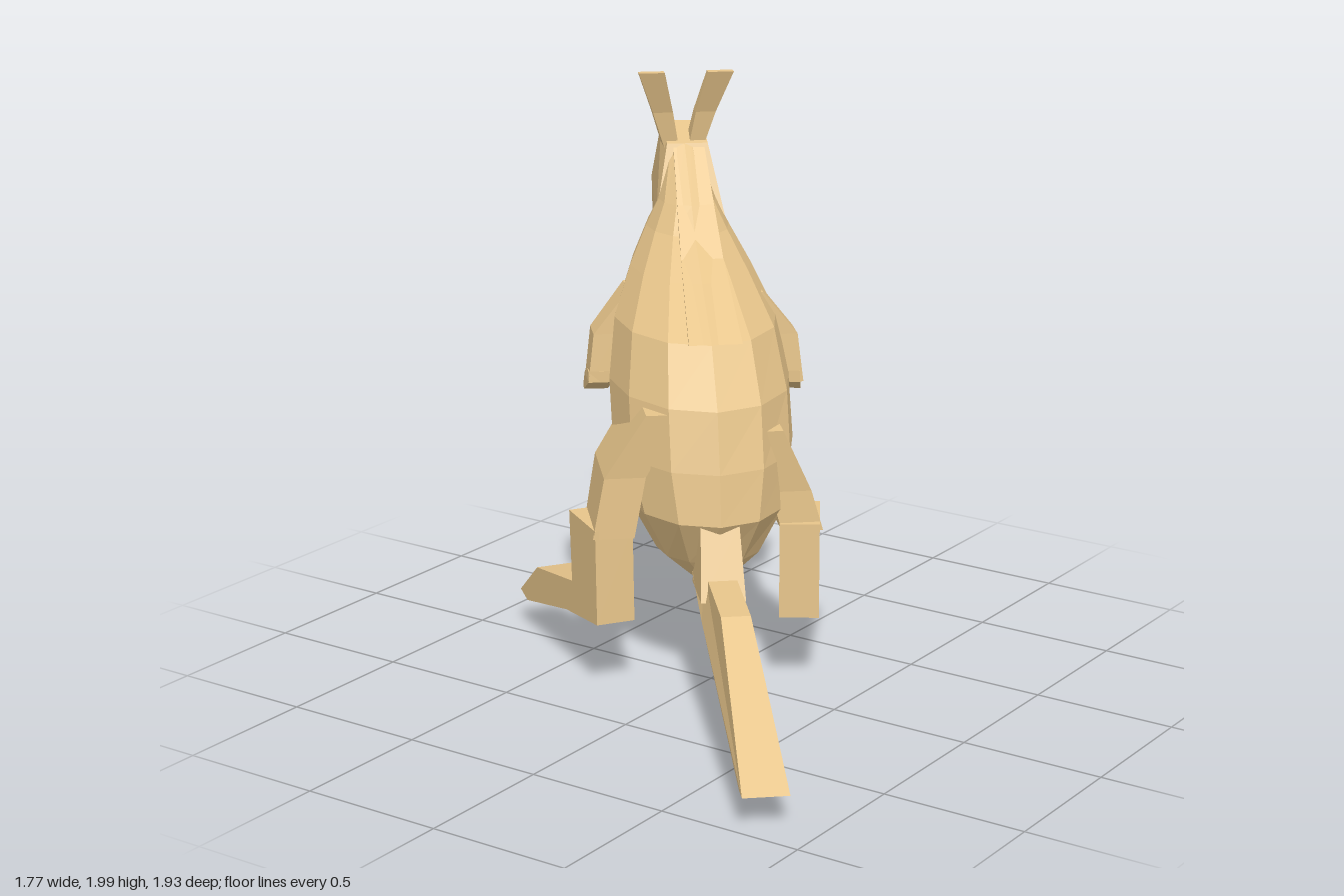
import * as THREE from 'three';

const fur = new THREE.MeshStandardMaterial({ color: 0xe6c48a, flatShading: true, side: THREE.DoubleSide });
const paleFur = new THREE.MeshStandardMaterial({ color: 0xe8d0b8, flatShading: true, side: THREE.DoubleSide });

// Horizontal cross-section: centre x, y, z, half width, half depth
function ring([cx, y, cz, w, d], n) {
  const square = n === 4;
  const k = square ? Math.SQRT2 : 1;
  return Array.from({ length: n }, (_, i) => {
    const a = ((i + (square ? 0.5 : 0)) / n) * Math.PI * 2;
    return [cx + Math.cos(a) * w * k, y, cz + Math.sin(a) * d * k];
  });
}

// Skin a stack of sections, listed from bottom to top, and cap both ends
function loft(name, sections, n = 4, material = fur) {
  const rings = sections.map((s) => ring(s, n));
  const index = [];
  const last = (rings.length - 1) * n;
  for (let r = 0; r < rings.length - 1; r++) {
    for (let i = 0; i < n; i++) {
      const p = r * n + i, q = r * n + ((i + 1) % n);
      index.push(p, p + n, q, q, p + n, q + n);
    }
  }
  for (let i = 1; i < n - 1; i++) {
    index.push(0, i, i + 1, last, last + i + 1, last + i);
  }
  const geometry = new THREE.BufferGeometry();
  geometry.setAttribute('position', new THREE.Float32BufferAttribute(rings.flat(2), 3));
  geometry.setIndex(index);
  geometry.computeVertexNormals();
  const mesh = new THREE.Mesh(geometry, material);
  mesh.name = name;
  return mesh;
}

// Side profile of (forward, up) points given a thickness; widthAt scales it point by point
function slab(name, profile, width, { x = 0, z = 0, yaw = 0, widthAt = () => 1 } = {}) {
  const shape = new THREE.Shape(profile.map(([u, v]) => new THREE.Vector2(u, v)));
  const geometry = new THREE.ExtrudeGeometry(shape, { depth: width, bevelEnabled: false });
  geometry.translate(0, 0, -width / 2);
  const pos = geometry.attributes.position;
  for (let i = 0; i < pos.count; i++) pos.setZ(i, pos.getZ(i) * widthAt(pos.getX(i), pos.getY(i)));
  geometry.rotateY(-Math.PI / 2);
  geometry.computeVertexNormals();
  const mesh = new THREE.Mesh(geometry, fur);
  mesh.name = name;
  mesh.position.set(x, 0, z);
  mesh.rotation.y = yaw;
  return mesh;
}

export function createModel() {
  const root = new THREE.Group();
  root.name = 'kangaroo';
  const animal = new THREE.Group();
  animal.name = 'animal';
  animal.rotation.y = THREE.MathUtils.degToRad(-137.8);
  root.add(animal);

  // Egg-shaped trunk rising into the neck
  animal.add(loft('body', [
    [0, 0.39, -0.02, 0.07, 0.07],
    [0, 0.47, 0.05, 0.18, 0.2],
    [0, 0.63, 0.11, 0.27, 0.36],
    [0, 0.8, 0.2, 0.31, 0.42],
    [0, 1.0, 0.3, 0.31, 0.46],
    [0, 1.19, 0.4, 0.28, 0.42],
    [0, 1.34, 0.53, 0.21, 0.31],
    [0, 1.46, 0.61, 0.145, 0.21],
    [0, 1.55, 0.62, 0.1, 0.13],
    [0, 1.73, 0.74, 0.05, 0.06],
  ], 12));

  // Flat ridge along the nape
  animal.add(slab('napeRidge', [[0.69, 1.73], [0.5, 1.55], [0.33, 1.4], [-0.01, 1.19], [0.3, 1.15], [0.75, 1.5]], 0.15,
    { x: -0.015, widthAt: (u) => 1.2 - 0.7 * u }));

  // Wedge-shaped head, broad at the jaw hinge and narrow at the crown
  animal.add(slab('head', [[0.6, 1.49], [1.21, 1.38], [1.23, 1.5], [0.84, 1.78], [0.68, 1.73]], 0.13,
    { x: -0.01, widthAt: (u, v) => (u > 1 ? 0.95 : v < 1.6 ? 1.85 : 1.1) }));

  // Tail, narrower along its top, with a raised wedge joining the rump
  animal.add(slab('tail', [[-1.24, 0.1], [-1.18, 0.1], [-0.32, 0.33], [-0.08, 0.42], [-0.2, 0.46], [-0.59, 0.445]], 0.15,
    { widthAt: (u, v) => (v > 0.43 ? 0.65 : 1) }));
  animal.add(loft('tailRoot', [
    [0, 0.39, -0.2, 0.075, 0.11],
    [0, 0.63, -0.16, 0.065, 0.06],
  ]));

  for (const side of [1, -1]) {
    const left = side > 0;
    const label = left ? 'left' : 'right';

    // Ears leaning out and back
    animal.add(loft(label + 'Ear', [
      [side * 0.04, 1.7, 0.75, 0.025, 0.045],
      [side * 0.075, 1.84, 0.71, 0.035, 0.03],
      [side * 0.12, 1.99, 0.64, 0.045, 0.018],
    ]));

    // Lower leg and long foot; the right toe reaches lower
    const toe = left ? 0.1 : 0;
    animal.add(slab(label + 'LegAndFoot', [
      [0, 0.25], [0.3, toe * 0.4 + 0.165], [0.71, toe], [0.78, toe + 0.02],
      [0.6, toe * 0.6 + 0.2], [0.24, toe * 0.4 + 0.29], [0.26, 0.58], [0.01, 0.58],
    ], 0.135, { x: left ? 0.335 : -0.285, z: left ? -0.08 : -0.115, yaw: left ? 0.26 : -0.17 }));

    // Thigh sinking into the flank
    const hip = left ? 0.34 : 0.3;
    const lift = left ? 0.04 : -0.03;
    animal.add(loft(label + 'Thigh', [
      [side * hip, 0.55, 0.045, 0.07, 0.13],
      [side * (hip - 0.04), 0.72 + lift, 0.07, 0.07, 0.15],
      [side * 0.17, 0.94 + lift, 0.08, 0.06, 0.18],
    ]));

    // Upper arm and forearm
    const elbow = left ? 0.48 : 0.4;
    animal.add(loft(label + 'UpperArm', [
      [side * 0.33, 0.95, elbow, 0.04, 0.06],
      [side * 0.31, 1.12, elbow + 0.01, 0.04, 0.06],
      [side * 0.18, 1.27, elbow + 0.03, 0.05, 0.075],
    ]));
    animal.add(slab(label + 'Forearm', [
      [-0.06, 0.95], [0.31, 0.82], [0.34, 0.835], [0.22, 0.91], [0.06, 0.98], [-0.06, 0.99],
    ], 0.085, { x: side * 0.325, z: elbow, yaw: left ? -0.05 : -0.17 }));

    // Young one's ears
    animal.add(loft(label + 'JoeyEar', [
      [side * 0.02, 0.82, 0.74, 0.012, 0.015],
      [side * 0.04, 0.92, 0.78, 0.018, 0.012],
    ], 4, paleFur));
  }

  // Young one's head peeking out of the pouch
  animal.add(loft('joeyHead', [
    [0, 0.62, 0.75, 0.028, 0.028],
    [0, 0.72, 0.74, 0.035, 0.05],
    [0, 0.84, 0.7, 0.045, 0.07],
    [0, 0.9, 0.68, 0.03, 0.05],
  ], 4, paleFur));

  return root;
}
